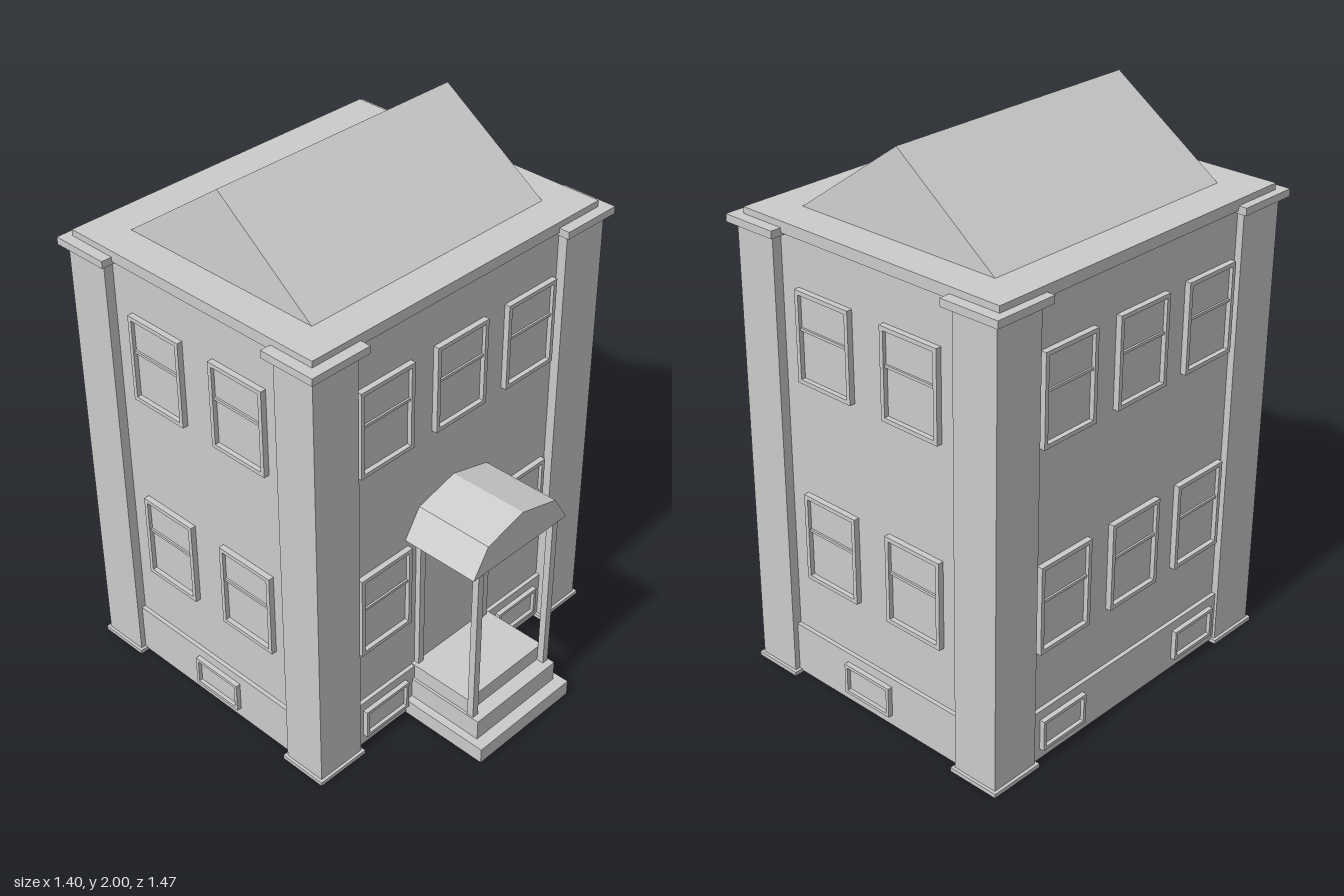
import * as THREE from 'three';

const mat = new THREE.MeshStandardMaterial({ color: 0xcccccc, side: THREE.DoubleSide, flatShading: true });

function add(parent, name, geometry) {
  const mesh = new THREE.Mesh(geometry, mat);
  mesh.name = name;
  parent.add(mesh);
  return mesh;
}

// Box given by its limits; a hollow one has no underside
function block(parent, name, x0, x1, y0, y1, z0, z1, hollow = false) {
  const g = new THREE.BoxGeometry(x1 - x0, y1 - y0, z1 - z0);
  g.translate((x0 + x1) / 2, (y0 + y1) / 2, (z0 + z1) / 2);
  if (hollow) {
    const index = Array.from(g.index.array);
    index.splice(18, 6);
    g.setIndex(index);
    g.clearGroups();
  }
  return add(parent, name, g);
}

function outline(points) {
  return points.map(([x, y]) => new THREE.Vector2(x, y));
}

// Rectangular surround standing out from z = 0
function surround(parent, name, w, y0, y1, border, depth) {
  const rect = (x, a, b) => outline([[-x, a], [x, a], [x, b], [-x, b]]);
  const shape = new THREE.Shape(rect(w / 2, y0, y1));
  shape.holes.push(new THREE.Path(rect(w / 2 - border, y0 + border, y1 - border)));
  return add(parent, name, new THREE.ExtrudeGeometry(shape, { depth, bevelEnabled: false }));
}

// Sash window with two panes and a meeting rail
function sashWindow(parent, x, y) {
  const g = new THREE.Group();
  g.name = 'sashWindow';
  g.position.set(x, y, 0);
  surround(g, 'windowFrame', 0.24, 0, 0.325, 0.015, 0.021);
  block(g, 'lowerPane', -0.105, 0.105, 0.015, 0.185, -0.002, 0.004);
  block(g, 'upperPane', -0.105, 0.105, 0.195, 0.31, -0.002, 0.008);
  block(g, 'meetingRail', -0.105, 0.105, 0.185, 0.195, -0.002, 0.015);
  parent.add(g);
}

// Low basement window
function basementWindow(parent, x) {
  const g = new THREE.Group();
  g.name = 'basementWindow';
  g.position.set(x, 0, 0.015);
  surround(g, 'basementWindowFrame', 0.21, 0.05, 0.165, 0.012, 0.018);
  block(g, 'basementPane', -0.093, 0.093, 0.062, 0.153, -0.002, 0.004);
  parent.add(g);
}

// All windows on one wall
function facade(parent, name, x, z, turn, columns, lowerColumns, basement) {
  const g = new THREE.Group();
  g.name = name;
  g.position.set(x, 0, z);
  g.rotation.y = turn;
  columns.forEach((c) => sashWindow(g, c, 1.165));
  lowerColumns.forEach((c) => sashWindow(g, c, 0.425));
  basement.forEach((c) => basementWindow(g, c));
  parent.add(g);
  return g;
}

// Gabled roof with gable ends leaning slightly inward
function roofGeometry() {
  const shape = new THREE.Shape(outline([[-0.415, 1.703], [0.415, 1.703], [0, 2]]));
  const g = new THREE.ExtrudeGeometry(shape, { depth: 1.06, bevelEnabled: false });
  g.translate(0, 0, -0.53);
  const p = g.attributes.position;
  for (let i = 0; i < p.count; i++) {
    if (p.getY(i) > 1.9) p.setZ(i, Math.sign(p.getZ(i)) * 0.515);
  }
  g.computeVertexNormals();
  g.rotateY(Math.PI / 2);
  g.translate(0, 0, -0.155);
  return g;
}

export function createModel() {
  const house = new THREE.Group();
  house.name = 'house';

  // Walls, basement band and roof
  block(house, 'walls', -0.64, 0.64, 0.2, 1.67, -0.685, 0.37, true);
  const band = new THREE.Shape(outline([[-0.655, -0.385], [0.655, -0.385], [0.655, 0.7], [-0.655, 0.7]]));
  band.holes.push(new THREE.Path(outline([[-0.64, -0.37], [0.64, -0.37], [0.64, 0.685], [-0.64, 0.685]])));
  const bandGeometry = new THREE.ExtrudeGeometry(band, { depth: 0.19, bevelEnabled: false });
  add(house, 'basementBand', bandGeometry.rotateX(-Math.PI / 2).translate(0, 0.01, 0));
  block(house, 'roofSlab', -0.66, 0.66, 1.665, 1.705, -0.705, 0.39);
  add(house, 'roof', roofGeometry());

  // Corner pilasters with foot plate and cap
  for (const side of [-1, 1]) {
    for (const [z0, z1] of [[0.24, 0.405], [-0.71, -0.535]]) {
      const corner = (name, y0, y1, grow, hollow) => block(house, name,
        side * 0.58 - 0.095 - grow, side * 0.58 + 0.095 + grow, y0, y1, z0 - grow, z1 + grow, hollow);
      corner('pilaster', 0, 1.66, 0, true);
      corner('pilasterFoot', 0, 0.015, 0.011, true);
      corner('pilasterCap', 1.655, 1.682, 0.025, false);
    }
  }

  // Windows on the four sides
  const three = [-0.34, 0.005, 0.345];
  const front = facade(house, 'frontFacade', 0, 0.37, 0, three, [-0.34, 0.345], [-0.345, 0.345]);
  facade(house, 'backFacade', 0, -0.685, Math.PI, three, three, [-0.345, 0.345]);
  facade(house, 'leftFacade', 0.64, 0, Math.PI / 2, [-0.045, 0.335], [-0.045, 0.335], [0.12]);
  facade(house, 'rightFacade', -0.64, 0, -Math.PI / 2, [0.045, -0.335], [0.045, -0.335], [-0.12]);

  // Front door
  surround(front, 'doorFrame', 0.36, 0.18, 0.735, 0.025, 0.021);
  block(front, 'door', -0.155, 0.155, 0.205, 0.71, -0.002, 0.006);

  // Porch steps
  block(house, 'bottomStep', -0.235, 0.232, 0.005, 0.065, 0.37, 0.735, true);
  block(house, 'middleStep', -0.205, 0.205, 0.065, 0.145, 0.37, 0.69, true);
  block(house, 'topStep', -0.195, 0.195, 0.145, 0.205, 0.37, 0.635, true);

  // Porch posts and faceted canopy
  for (const side of [-1, 1]) {
    block(house, 'porchPost', side * 0.187 - 0.013, side * 0.187 + 0.013, 0.145, 0.79, 0.637, 0.663);
  }
  const canopy = new THREE.Shape(outline([[-0.234, 0.78], [0.234, 0.78], [0.168, 0.885], [0, 0.93], [-0.168, 0.885]]));
  add(house, 'canopy', new THREE.ExtrudeGeometry(canopy, { depth: 0.3, bevelEnabled: false })).position.z = 0.37;

  return house;
}
